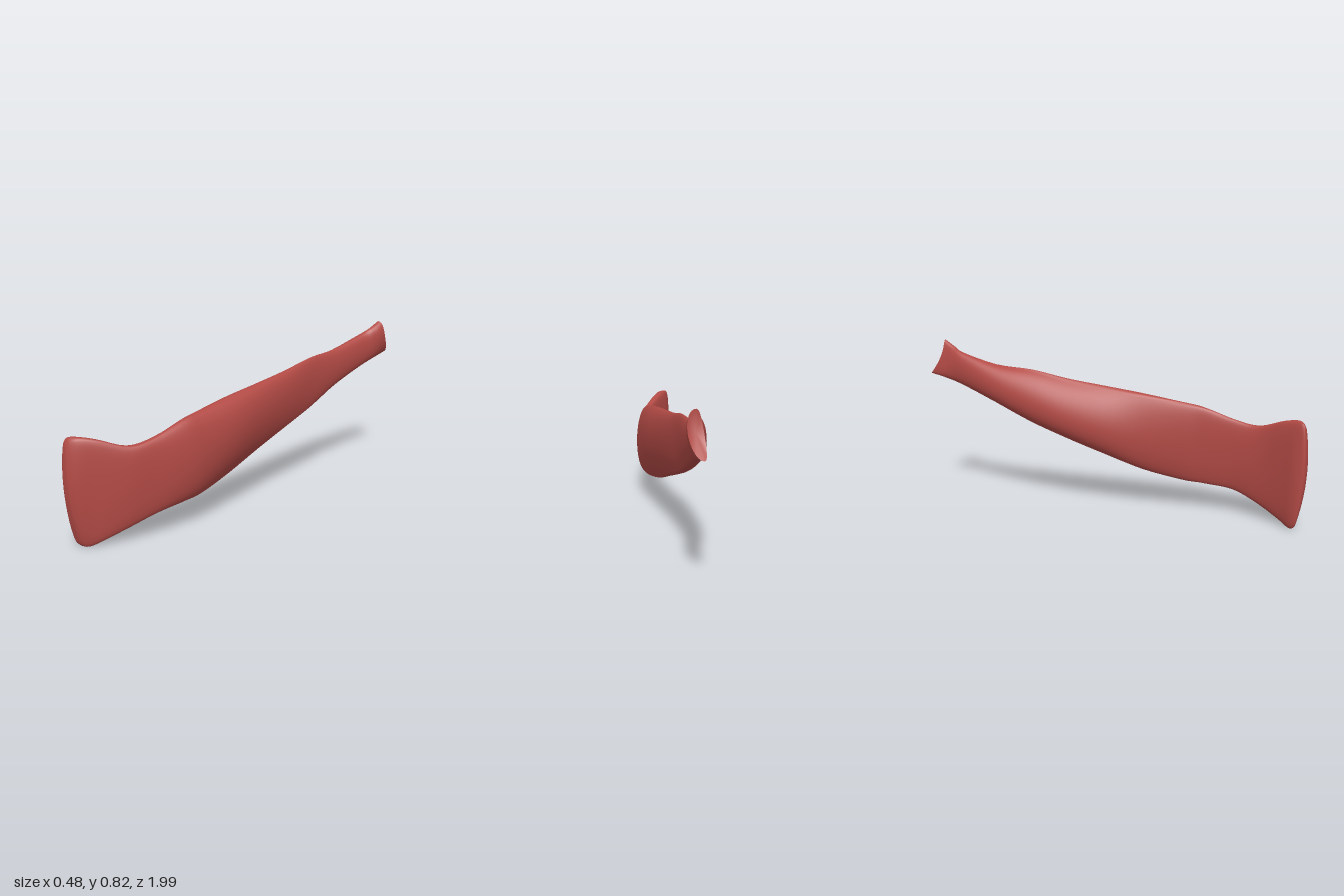
import * as THREE from 'three';

const muscleRed = new THREE.MeshStandardMaterial({ color: 0xb24a45 });
muscleRed.name = 'muscle red';

// Cross-sections from the broad front attachment to the narrow back one:
// zBottom, zTop, yBottom, yTop, xBottom, xTop, bulge to -x, bulge to +x
const SECTIONS = [
  [0.957, 0.982, 0.05, 0.475, -0.202, -0.212, 0.012, 0.014],
  [0.945, 0.968, 0.015, 0.503, -0.2, -0.208, 0.034, 0.038],
  [0.92, 0.942, 0.003, 0.51, -0.178, -0.184, 0.045, 0.047],
  [0.87, 0.88, 0.03, 0.495, -0.13, -0.132, 0.043, 0.045],
  [0.77, 0.77, 0.08, 0.455, -0.06, -0.05, 0.036, 0.042],
  [0.65, 0.65, 0.125, 0.475, 0, -0.01, 0.027, 0.043],
  [0.5, 0.5, 0.14, 0.525, 0.035, 0.01, 0.027, 0.062],
  [0.4, 0.4, 0.15, 0.545, 0.045, 0.012, 0.037, 0.073],
  [0.2, 0.2, 0.195, 0.58, 0.05, 0.02, 0.053, 0.088],
  [0, 0, 0.265, 0.61, 0.07, 0.042, 0.09, 0.07],
  [-0.2, -0.2, 0.335, 0.64, 0.09, 0.065, 0.1, 0.05],
  [-0.4, -0.4, 0.41, 0.68, 0.11, 0.093, 0.092, 0.03],
  [-0.6, -0.6, 0.5, 0.7, 0.13, 0.117, 0.07, 0.035],
  [-0.8, -0.8, 0.58, 0.755, 0.165, 0.16, 0.04, 0.035],
  [-0.91, -0.86, 0.615, 0.785, 0.185, 0.188, 0.03, 0.042],
  [-1, -0.92, 0.637, 0.82, 0.197, 0.206, 0.022, 0.043],
];
const SIDES = 48;
const STEPS = 4;
const { smoothstep } = THREE.MathUtils;

// Smooth Catmull-Rom blend between neighbouring sections
function sectionAt(u) {
  const last = SECTIONS.length - 1;
  const i = Math.min(Math.floor(u), last - 1);
  const f = u - i;
  const row = (k) => SECTIONS[Math.max(0, Math.min(last, k))];
  return row(i).map((b, n) => {
    const a = row(i - 1)[n], c = row(i + 1)[n], d = row(i + 2)[n];
    return b + 0.5 * f * (c - a + f * (2 * a - 5 * b + 4 * c - d + f * (3 * (b - c) + d - a)));
  });
}

// One lens-shaped ring, starting at the top edge and going round by +x
function ring(u) {
  const [zb, zt, yb, yt, xb, xt, wl, wr] = sectionAt(u);
  // The belly leans and has sharp edges; the ends are upright and blunt
  const lean = 0.4 * Math.max(0, 1 - ((zb + 0.1) / 0.75) ** 2);
  const sharp = 1.2 - 0.7 * smoothstep(zb, 0.2, 0.95) - 0.3 * smoothstep(-zb, 0.2, 0.8);
  const bulge = 0.022 * smoothstep(Math.abs(zb), 0.9, 0.96);
  const points = [];
  for (let j = 0; j < SIDES; j++) {
    const t = (j / SIDES) * Math.PI * 2;
    const s = Math.sin(t);
    const h = (1 + Math.cos(t - lean)) / 2;
    const side = Math.sign(s) * Math.pow(Math.abs(s), sharp) * (s > 0 ? wr : wl);
    points.push([xb + (xt - xb) * h + side, yb + (yt - yb) * h, zb + (zt - zb) * h + bulge * s * s]);
  }
  return points;
}

function meshFrom(name, vertices, index) {
  const geometry = new THREE.BufferGeometry();
  geometry.setAttribute('position', new THREE.Float32BufferAttribute(vertices.flat(), 3));
  geometry.setIndex(index);
  geometry.computeVertexNormals();
  const mesh = new THREE.Mesh(geometry, muscleRed);
  mesh.name = name;
  return mesh;
}

export function createModel() {
  const group = new THREE.Group();
  group.name = 'muscle';

  // Belly with its rounded front edge
  const count = (SECTIONS.length - 1) * STEPS;
  const rings = [];
  for (let i = 0; i <= count; i++) rings.push(ring(i / STEPS));
  const index = [];
  for (let i = 0; i < count; i++) {
    for (let j = 0; j < SIDES; j++) {
      const k = (j + 1) % SIDES;
      const a = i * SIDES + j, b = i * SIDES + k;
      index.push(a, b, a + SIDES, b, b + SIDES, a + SIDES);
    }
  }
  // Narrow strip closing the front edge
  for (let j = 0; j < SIDES / 2; j++) {
    const l = (SIDES - j) % SIDES, m = SIDES - j - 1;
    if (j > 0) index.push(j, l, j + 1);
    if (m !== j + 1) index.push(l, m, j + 1);
  }
  group.add(meshFrom('muscleBelly', rings.flat(), index));

  // Hollowed attachment face at the back
  const rim = rings[count];
  const hollow = [0, 1, 2].map((k) => rim.reduce((sum, p) => sum + p[k], 0) / SIDES);
  hollow[2] += 0.025;
  const capIndex = [];
  for (let j = 0; j < SIDES; j++) capIndex.push(SIDES, j, (j + 1) % SIDES);
  group.add(meshFrom('backAttachment', [...rim, hollow], capIndex));

  return group;
}
